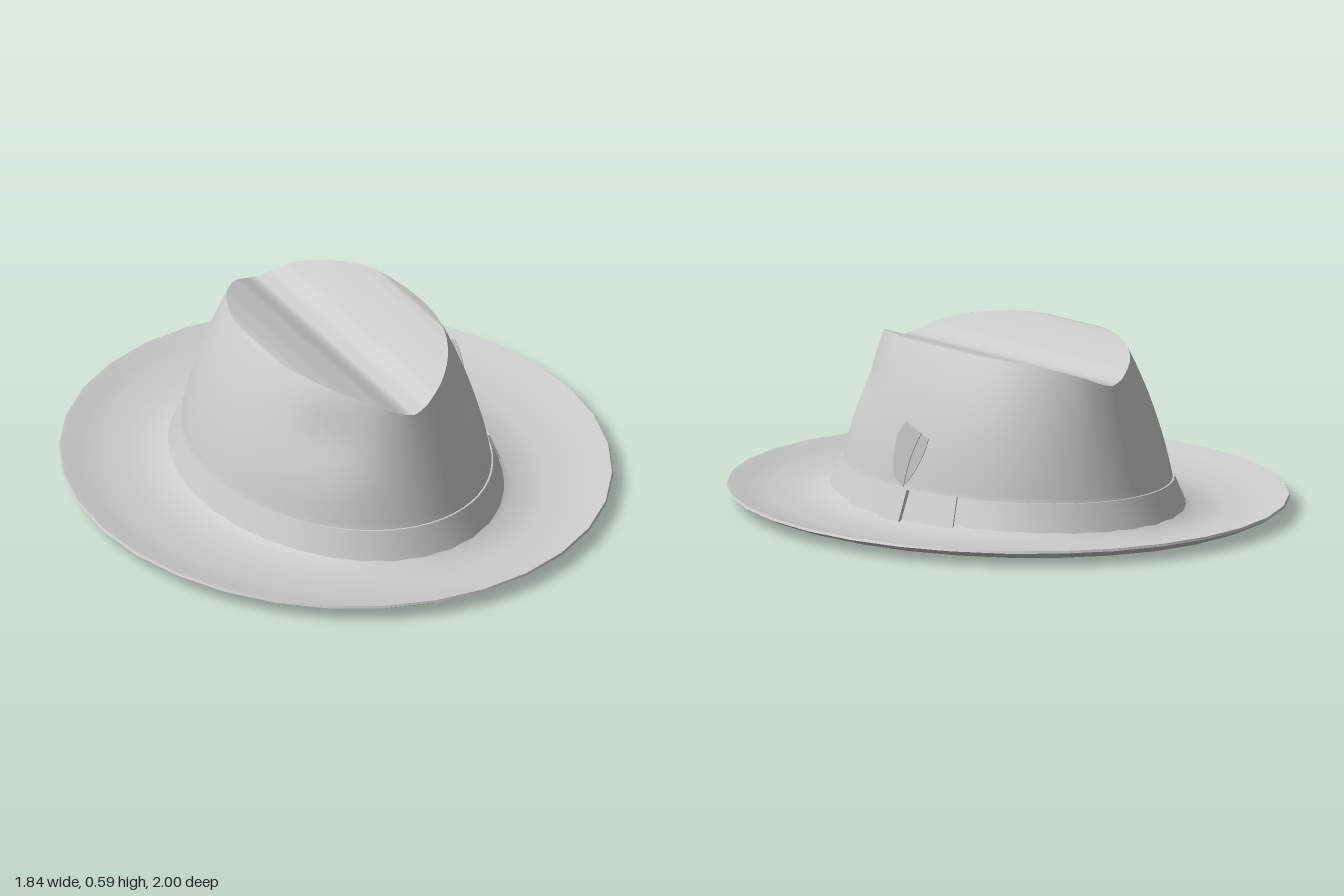
import * as THREE from 'three';
import { ParametricGeometry } from 'three/addons/geometries/ParametricGeometry.js';
import { toCreasedNormals } from 'three/addons/utils/BufferGeometryUtils.js';

const lerp = THREE.MathUtils.lerp;
const spow = (v, p) => Math.sign(v) * Math.abs(v) ** p;

const material = new THREE.MeshStandardMaterial({ color: 0xcccccc, side: THREE.DoubleSide });

function part(name, geometry) {
  const mesh = new THREE.Mesh(geometry, material);
  mesh.name = name;
  return mesh;
}

// Sweeps a profile of [rx, rz, y] rows around y; tuck pulls both ends inward to close a strip.
function sweep(rows, segments, from = 0, to = Math.PI * 2, tuck = 0) {
  const last = rows.length - 1;
  const geometry = new ParametricGeometry((u, v, target) => {
    const i = Math.min(Math.floor(v * last + 1e-6), last - 1);
    const k = v * last - i;
    const [rx, rz, y] = rows[i].map((value, j) => lerp(value, rows[i + 1][j], k));
    const column = u * segments;
    const end = tuck && (column < 0.5 || column > segments - 0.5) ? tuck : 0;
    const inner = tuck ? THREE.MathUtils.clamp((column - 1) / (segments - 2), 0, 1) : u;
    const a = lerp(from, to, inner);
    target.set((rx - end) * Math.cos(a), y, -(rz - end) * Math.sin(a));
  }, segments, last);
  return toCreasedNormals(geometry, 0.7);
}

// Height of the creased top across the crown
const creasePoints = [[0, 0.498], [0.05, 0.511], [0.1, 0.536], [0.2, 0.57], [0.27, 0.588], [0.3, 0.592], [0.33, 0.582]];
function creaseHeight(x) {
  const d = Math.abs(x);
  let i = 1;
  while (i < creasePoints.length - 1 && d > creasePoints[i][0]) i++;
  const [[x0, y0], [x1, y1]] = [creasePoints[i - 1], creasePoints[i]];
  return lerp(y0, y1, (d - x0) / (x1 - x0));
}

// Slightly pointed rim where the wall meets the creased top, a little wider on the left
function rimPoint(a) {
  const c = Math.cos(a);
  const x = (c > 0 ? 0.333 : 0.319) * spow(c, 1.09);
  return { x, y: creaseHeight(x), z: 0.527 * spow(Math.sin(a), 1.09) };
}

const foot = 0.12; // share of the wall hidden behind the band

function crownWall(u, v, target) {
  const a = -u * Math.PI * 2;
  const c = Math.cos(a), s = Math.sin(a);
  if (v < foot) {
    const k = v / foot;
    target.set(lerp(0.508, 0.484, k) * c, lerp(0.045, 0.13, k), lerp(0.668, 0.638, k) * s);
    return;
  }
  const t = (v - foot) / (1 - foot);
  const rim = rimPoint(a);
  const blend = lerp(t, t ** 2.2, 0.45 * (1 - s ** 6));
  // finger pinches on both sides of the front
  const side = Math.atan2(s, Math.abs(c)) - 0.78;
  const pinch = 1 - 0.045 * Math.exp(-((side / 0.28) ** 2) - ((t - 0.72) / 0.3) ** 2) * Math.sin(Math.PI * t);
  target.set(
    lerp(0.484 * c, rim.x, blend) * pinch,
    lerp(0.13, rim.y, t),
    lerp(0.638 * s, rim.z, blend) * pinch
  );
}

function crownTop(u, v, target) {
  const rim = rimPoint(0.005 + u * (Math.PI - 0.01));
  target.set(rim.x, rim.y, lerp(-rim.z, rim.z, v));
}

function createFeather() {
  const feather = new THREE.Group();
  feather.name = 'feather';
  const shape = new THREE.Shape();
  shape.moveTo(0, 0.13);
  shape.lineTo(0.045, 0.165);
  shape.quadraticCurveTo(0.055, 0.31, -0.02, 0.365);
  shape.lineTo(-0.13, 0.32);
  shape.quadraticCurveTo(-0.1, 0.23, 0, 0.13);
  const vane = part('featherVane', new THREE.ExtrudeGeometry(shape, { depth: 0.003, bevelEnabled: false, curveSegments: 8 }));
  const curve = new THREE.QuadraticBezierCurve3(
    new THREE.Vector3(0, 0.12, 0.0015),
    new THREE.Vector3(-0.03, 0.25, 0.0015),
    new THREE.Vector3(-0.095, 0.335, 0.0015)
  );
  const quill = part('featherQuill', new THREE.TubeGeometry(curve, 10, 0.004, 6));
  feather.add(vane, quill);
  feather.rotation.y = -Math.PI / 2;
  feather.position.x = 0.482;
  return feather;
}

export function createModel() {
  const hat = new THREE.Group();
  hat.name = 'hat';

  // Lining dome flowing into the brim's underside, over the upturned lip and back along the top
  const lining = [
    [0.002, 0.003, 0.49], [0.1, 0.15, 0.488], [0.24, 0.34, 0.475], [0.345, 0.475, 0.435], [0.405, 0.545, 0.36],
    [0.447, 0.594, 0.25], [0.476, 0.629, 0.14], [0.487, 0.643, 0.09], [0.502, 0.66, 0.05], [0.525, 0.686, 0.022], [0.557, 0.715, 0.01]
  ];
  const brim = [
    [0.22, 0.004], [0.45, 0], [0.65, 0.006], [0.82, 0.018], [0.94, 0.034], [1, 0.047],
    [0.99, 0.055], [0.95, 0.052], [0.82, 0.037], [0.65, 0.025], [0.4, 0.02], [0.1, 0.025], [0, 0.05]
  ].map(([k, y]) => [lerp(0.512, 0.918, k), lerp(0.674, 1, k), y]);
  hat.add(part('brimAndLining', sweep([...lining, ...brim], 32)));

  // Crown
  hat.add(part('crownWall', new ParametricGeometry(crownWall, 64, 25)));
  hat.add(part('crownTop', new ParametricGeometry(crownTop, 32, 2)));

  // Ribbon band with a flat bow and knot on the left side
  hat.add(part('band', sweep([[0.531, 0.696, 0.022], [0.489, 0.644, 0.132], [0.475, 0.63, 0.132]], 64)));
  hat.add(part('bow', sweep(
    [[0.515, 0.67, 0.024], [0.538, 0.703, 0.024], [0.496, 0.651, 0.134], [0.475, 0.63, 0.134]],
    14, -0.39, 0.39, 0.015
  )));
  const knot = part('bowKnot', new THREE.BoxGeometry(0.03, 0.112, 0.1));
  knot.position.set(0.513, 0.078, 0);
  knot.rotation.z = 0.35;
  hat.add(knot);

  hat.add(createFeather());
  return hat;
}
